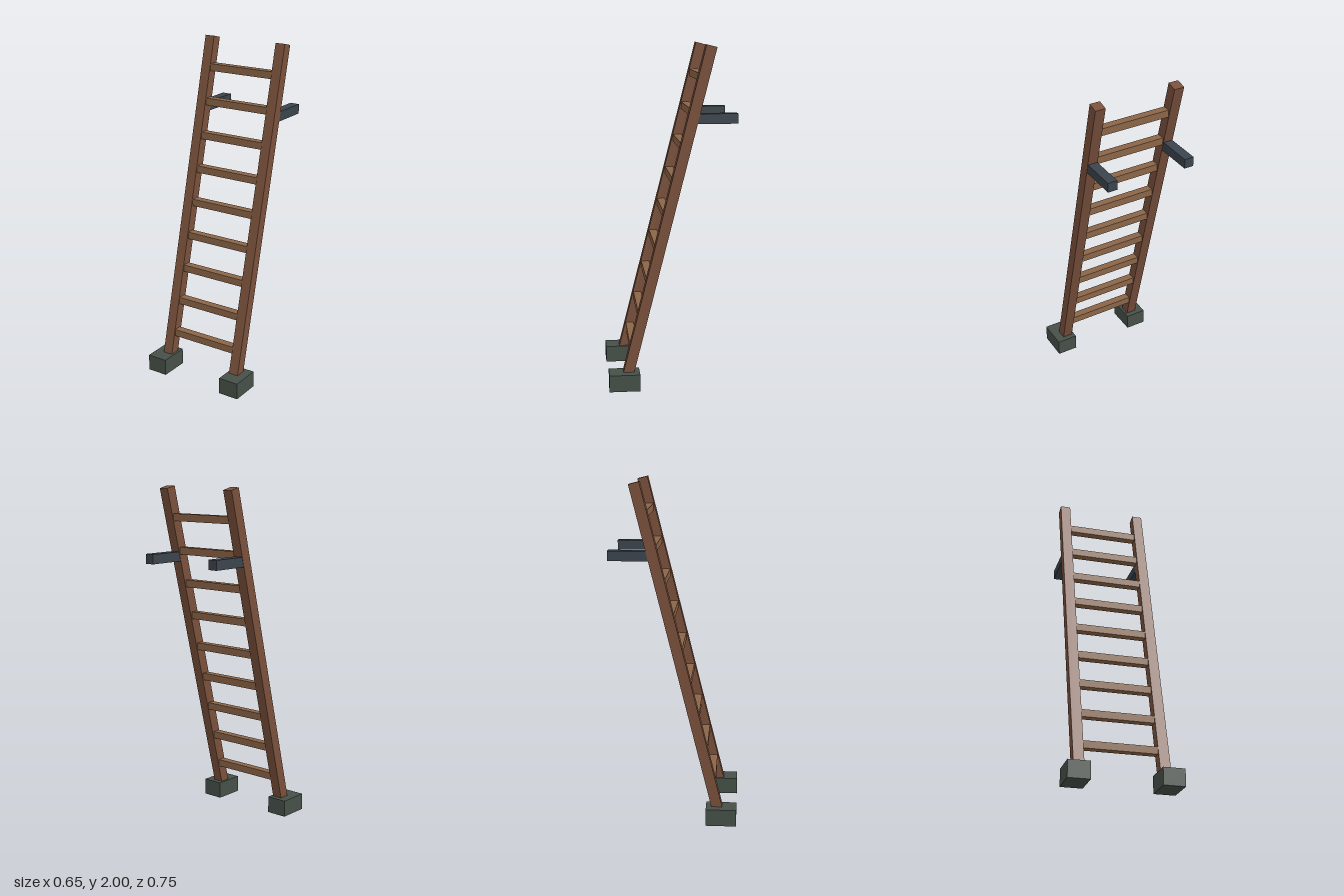
import * as THREE from 'three';

export function createModel() {
  const group = new THREE.Group();
  const material = (color) => new THREE.MeshStandardMaterial({ color, flatShading: true });
  const railWood = material(0x7a503b);
  const rungWood = material(0x8b6547);
  const footStone = material(0x465048);
  const hookIron = material(0x3b444d);

  const box = (name, mat, size, position) => {
    const mesh = new THREE.Mesh(new THREE.BoxGeometry(...size), mat);
    mesh.name = name;
    mesh.position.set(...position);
    group.add(mesh);
    return mesh;
  };

  // Centre line of the leaning ladder
  const slope = 0.252;
  const railZ = (y) => 0.281 - slope * y;
  const lean = Math.atan(slope);
  const railX = 0.242;
  const bottomY = 0.03, topY = 1.9925;
  const midY = (bottomY + topY) / 2;

  for (const [side, s] of [['left', 1], ['right', -1]]) {
    // Leaning side rail, its lower end set into the foot
    const rail = box(side + 'Rail', railWood,
      [0.061, (topY - bottomY) / Math.cos(lean), 0.062], [s * railX, midY, railZ(midY)]);
    rail.rotation.x = -lean;

    // Foot block
    box(side + 'Foot', footStone, [0.126, 0.1, 0.18], [s * 0.261, 0.05, 0.282]);

    // Hook bar reaching back from the rail
    const front = railZ(1.585), back = -0.374;
    box(side + 'Hook', hookIron, [0.057, 0.057, front - back], [s * railX, 1.586, (front + back) / 2]);
  }

  // Level rungs, tenoned into the rails
  for (let i = 0; i < 9; i++) {
    const y = 0.232 + i * 0.1983;
    box('rung' + (i + 1), rungWood, [railX * 2, 0.043, 0.048], [0, y, railZ(y)]);
  }

  return group;
}
